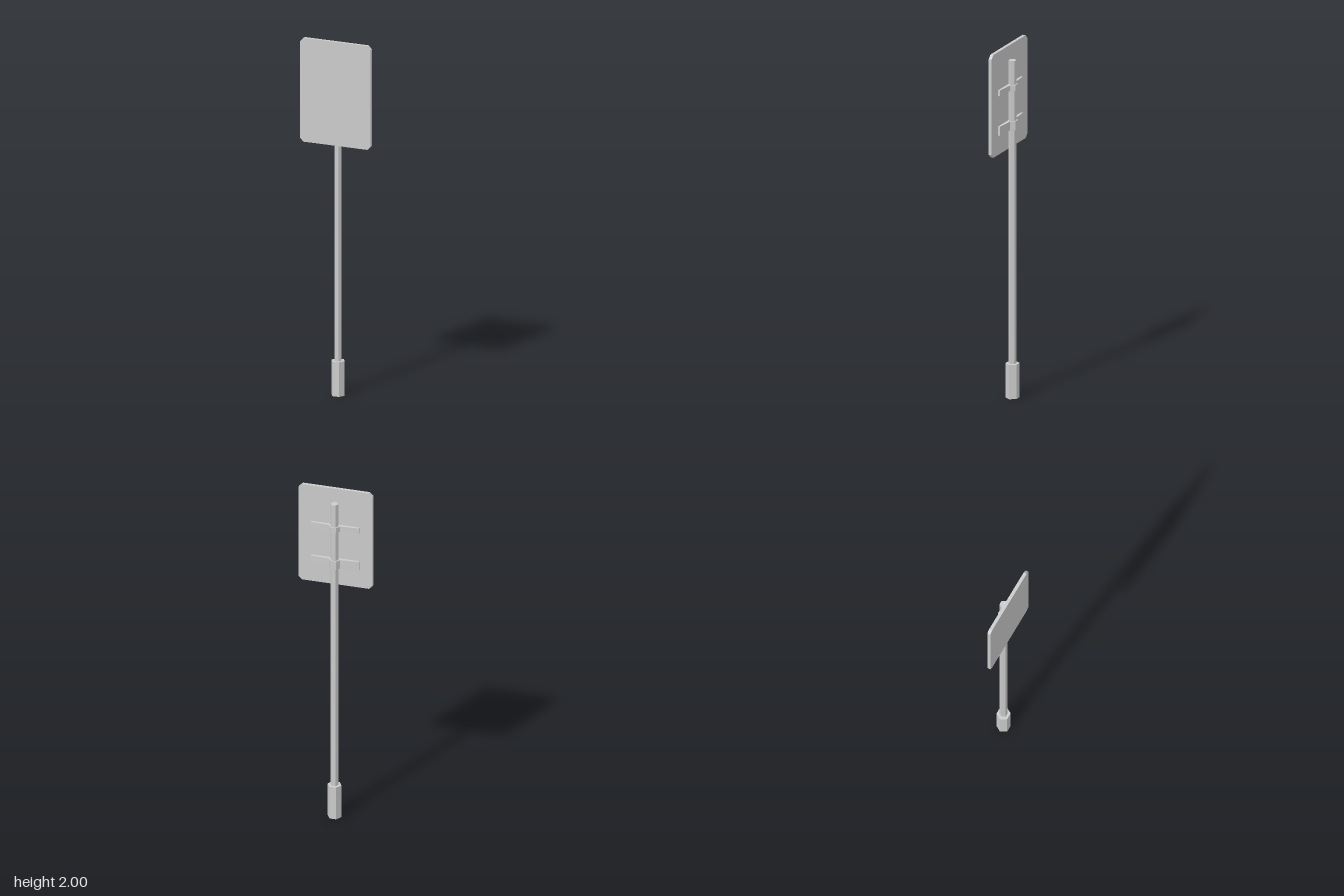
import * as THREE from 'three';

const material = new THREE.MeshStandardMaterial({ color: 0xcccccc, flatShading: true });
const POLE_Z = -0.002;

function addMesh(group, name, geometry) {
  const mesh = new THREE.Mesh(geometry, material);
  mesh.name = name;
  group.add(mesh);
  return mesh;
}

// Six-sided upright post with corners pointing to left and right
function hexPost(radius, bottom, top) {
  return new THREE.CylinderGeometry(radius, radius, top - bottom, 6)
    .rotateY(Math.PI / 6)
    .translate(0, (bottom + top) / 2, POLE_Z);
}

function extrude(points, depth) {
  const shape = new THREE.Shape(points.map(([x, y]) => new THREE.Vector2(x, y)));
  return new THREE.ExtrudeGeometry(shape, { depth, bevelEnabled: false });
}

export function createModel() {
  const sign = new THREE.Group();
  sign.name = 'roadSign';

  // Ground sleeve and pole
  addMesh(sign, 'baseSleeve', hexPost(0.0385, 0, 0.195));
  addMesh(sign, 'pole', hexPost(0.0215, 0.19, 1.918));

  // Flat panel with clipped corners
  const w = 0.208, bottom = 1.415, top = 2, c = 0.02;
  const panel = extrude([
    [-w + c, bottom], [w - c, bottom], [w, bottom + c], [w, top - c],
    [w - c, top], [-w + c, top], [-w, top - c], [-w, bottom + c],
  ], 0.018).translate(0, 0, 0.0165);
  addMesh(sign, 'panel', panel);

  // Brackets: tapered wings against the panel, wrapped around the pole (half profile as x, z)
  const half = [[0.135, 0.0165], [0.135, 0.005], [0.032, -0.002], [0.0155, -0.027]];
  const profile = [...half, ...half.map(([x, z]) => [-x, z]).reverse()];
  const brackets = [['lowerBracket', 1.526, 1.577], ['upperBracket', 1.751, 1.783]];
  for (const [name, y0, y1] of brackets) {
    // Extruded along z, then laid so the depth runs down from y1
    const geometry = extrude(profile, y1 - y0).rotateX(Math.PI / 2).translate(0, y1, 0);
    addMesh(sign, name, geometry);
  }

  return sign;
}
